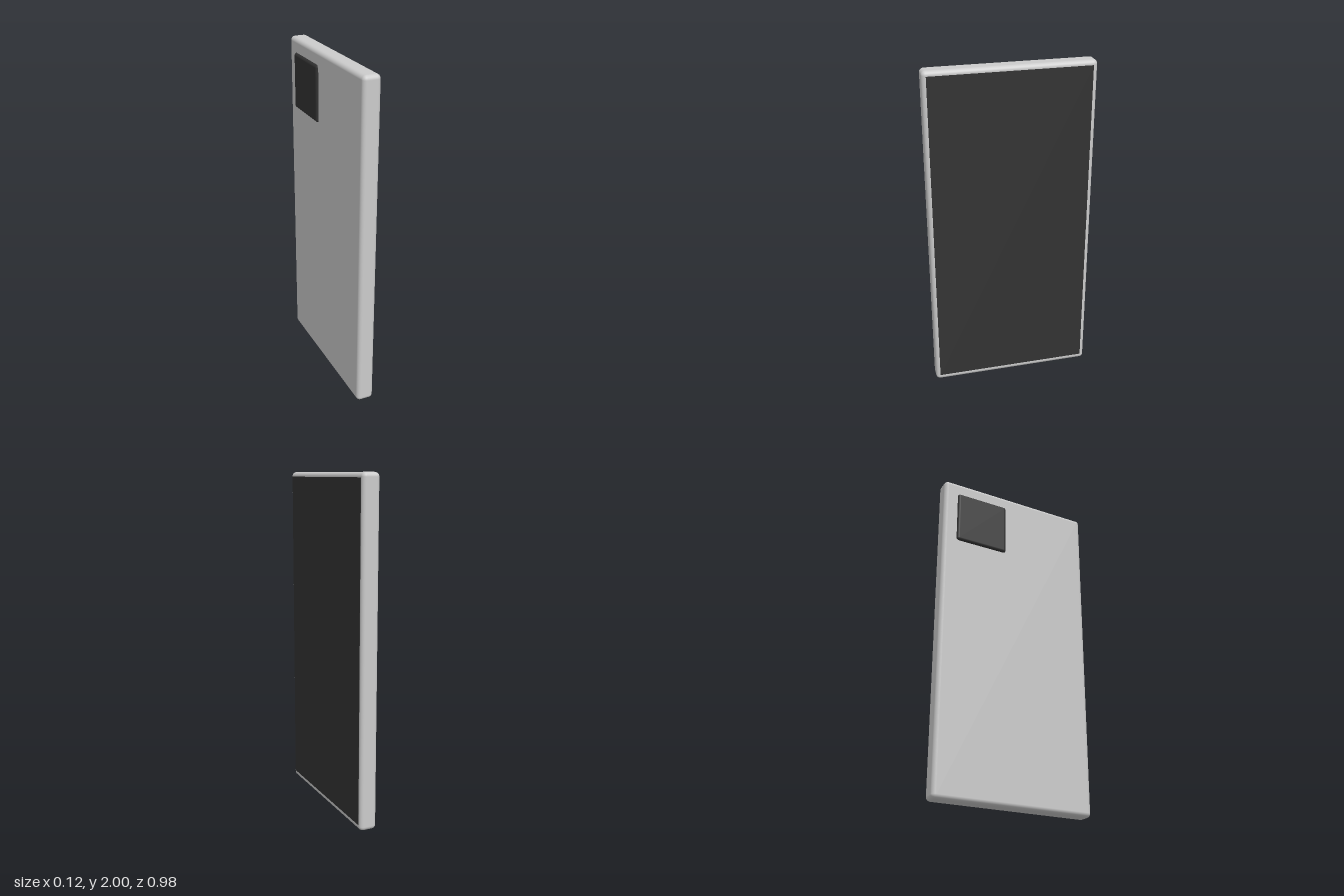
import * as THREE from 'three';
import { RoundedBoxGeometry } from 'three/addons/geometries/RoundedBoxGeometry.js';

const grey = new THREE.MeshStandardMaterial({ color: 0xcccccc });
const dark = new THREE.MeshStandardMaterial({ color: 0x333333 });

// Mesh filling the box between two corners
function part(name, min, max, material, radius = 0) {
  const size = max.map((v, i) => v - min[i]);
  const geometry = radius
    ? new RoundedBoxGeometry(...size, 4, radius)
    : new THREE.BoxGeometry(...size);
  const mesh = new THREE.Mesh(geometry, material);
  mesh.name = name;
  mesh.position.set(...max.map((v, i) => (v + min[i]) / 2));
  return mesh;
}

export function createModel() {
  const phone = new THREE.Group();
  phone.name = 'phone';
  phone.add(
    // Slab with softly rounded edges
    part('body', [-0.047, 0, -0.49], [0.057, 2, 0.49], grey, 0.025),
    // Thin display, almost flush with the face
    part('screen', [0.05, 0.034, -0.464], [0.0585, 1.972, 0.466], dark),
    // Camera bump, half sunk into the back
    part('cameraBump', [-0.0595, 1.585, -0.405], [-0.02, 1.92, -0.07], dark, 0.018)
  );
  return phone;
}
